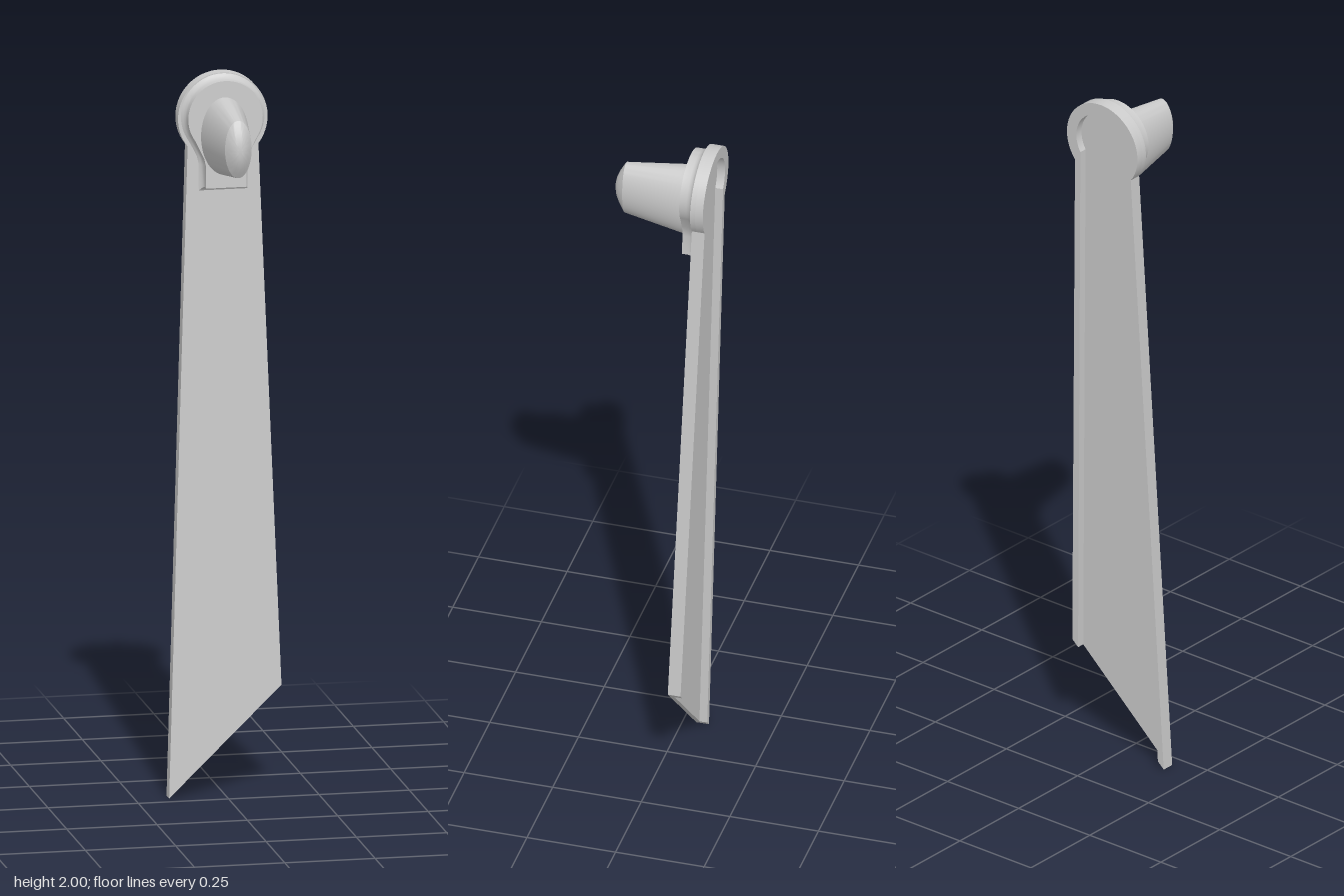
import * as THREE from 'three';
import { toCreasedNormals } from 'three/addons/utils/BufferGeometryUtils.js';

const material = new THREE.MeshStandardMaterial({ color: 0xcccccc });
const CX = 0.005, HEAD_Y = 1.876;

// Points of an arc around the head centre, counterclockwise over the top
function headArc(radius, start, count = 40, cy = HEAD_Y) {
  const points = [];
  for (let i = 0; i <= count; i++) {
    const a = start + (Math.PI - 2 * start) * i / count;
    points.push(new THREE.Vector2(CX + radius * Math.cos(a), cy + radius * Math.sin(a)));
  }
  return points;
}

// Lean the part back: z shifts with height
function lean(geometry) {
  const p = geometry.attributes.position;
  for (let i = 0; i < p.count; i++) p.setZ(i, p.getZ(i) - 0.037 - 0.035 * p.getY(i));
  return geometry;
}

function extrude(points, z, depth) {
  const g = new THREE.ExtrudeGeometry(new THREE.Shape(points), { depth, bevelEnabled: false });
  return lean(g.translate(0, 0, z));
}

// Skin closed counterclockwise rings stacked along +z and close the front end
function loft(rings) {
  const n = rings[0].length, position = [], index = [];
  rings.forEach(ring => ring.forEach(p => position.push(p.x, p.y, p.z)));
  for (let k = 0; k < rings.length - 1; k++) {
    for (let i = 0; i < n; i++) {
      const j = (i + 1) % n, a = k * n + i, b = k * n + j;
      index.push(a, b, b + n, a, b + n, a + n);
    }
  }
  const last = rings[rings.length - 1], centre = new THREE.Vector3();
  last.forEach(p => centre.addScaledVector(p, 1 / n));
  position.push(centre.x, centre.y, centre.z);
  const base = (rings.length - 1) * n;
  for (let i = 0; i < n; i++) index.push(base + i, base + (i + 1) % n, rings.length * n);
  const g = new THREE.BufferGeometry();
  g.setAttribute('position', new THREE.Float32BufferAttribute(position, 3));
  g.setIndex(index);
  return g;
}

// Keyhole outline of the boss, grown by e
function keyhole(e, z) {
  const leg = [[0.055 + e, 1.69 - e], [0.055 + e, 1.75], [0.059 + e, 1.77], [0.068 + e, 1.79]];
  const right = leg.map(([x, y]) => new THREE.Vector2(CX + x, y));
  const left = leg.map(([x, y]) => new THREE.Vector2(CX - x, y)).reverse();
  return [...right, ...headArc(0.103 + e, -0.62, 40, 1.882), ...left]
    .map(p => new THREE.Vector3(p.x, p.y, z));
}

function ellipse(rx, ry, cy, z) {
  return Array.from({ length: 48 }, (_, i) => {
    const a = i / 48 * Math.PI * 2;
    return new THREE.Vector3(0.003 + rx * Math.cos(a), cy + ry * Math.sin(a), z);
  });
}

export function createModel() {
  const group = new THREE.Group();
  const add = (name, geometry, crease = 0.5) => {
    const mesh = new THREE.Mesh(toCreasedNormals(geometry, crease), material);
    mesh.name = name;
    group.add(mesh);
  };

  // Blade: thin front plate with a slanted lower end and a round head
  const bottomLeft = new THREE.Vector2(-0.157, 0), bottomRight = new THREE.Vector2(0.156, 0.3);
  const outer = headArc(0.124, Math.atan2(-0.076, 0.098));
  add('bladePlate', extrude([bottomLeft, bottomRight, ...outer], -0.014, 0.014));

  // Rim behind the plate, open at the slanted end
  const inner = headArc(0.091, Math.atan2(-0.047, 0.078)).reverse();
  add('bladeRim', extrude([
    bottomLeft, new THREE.Vector2(-0.137, 0.019), ...inner,
    new THREE.Vector2(0.136, 0.281), bottomRight, ...outer,
  ], -0.036, 0.022));

  // Keyhole boss with a fillet at its foot
  const foot = [[0, 0.013], [0.004, 0.007], [0.01, 0.002], [0.017, 0], [0.037, 0]];
  add('keyholeBoss', lean(loft(foot.map(([z, e]) => keyhole(e, z)))));

  // Tapered oval peg with a domed tip
  const peg = [ellipse(0.068, 0.109, 1.832, -0.075), ellipse(0.037, 0.08, 1.838, 0.115)];
  for (const [s, z] of [[0.85, 0.122], [0.65, 0.131], [0.4, 0.139], [0.18, 0.1425]]) {
    peg.push(ellipse(0.037 * s, 0.08 * s, 1.838, z));
  }
  add('peg', loft(peg), 0.45);
  return group;
}
